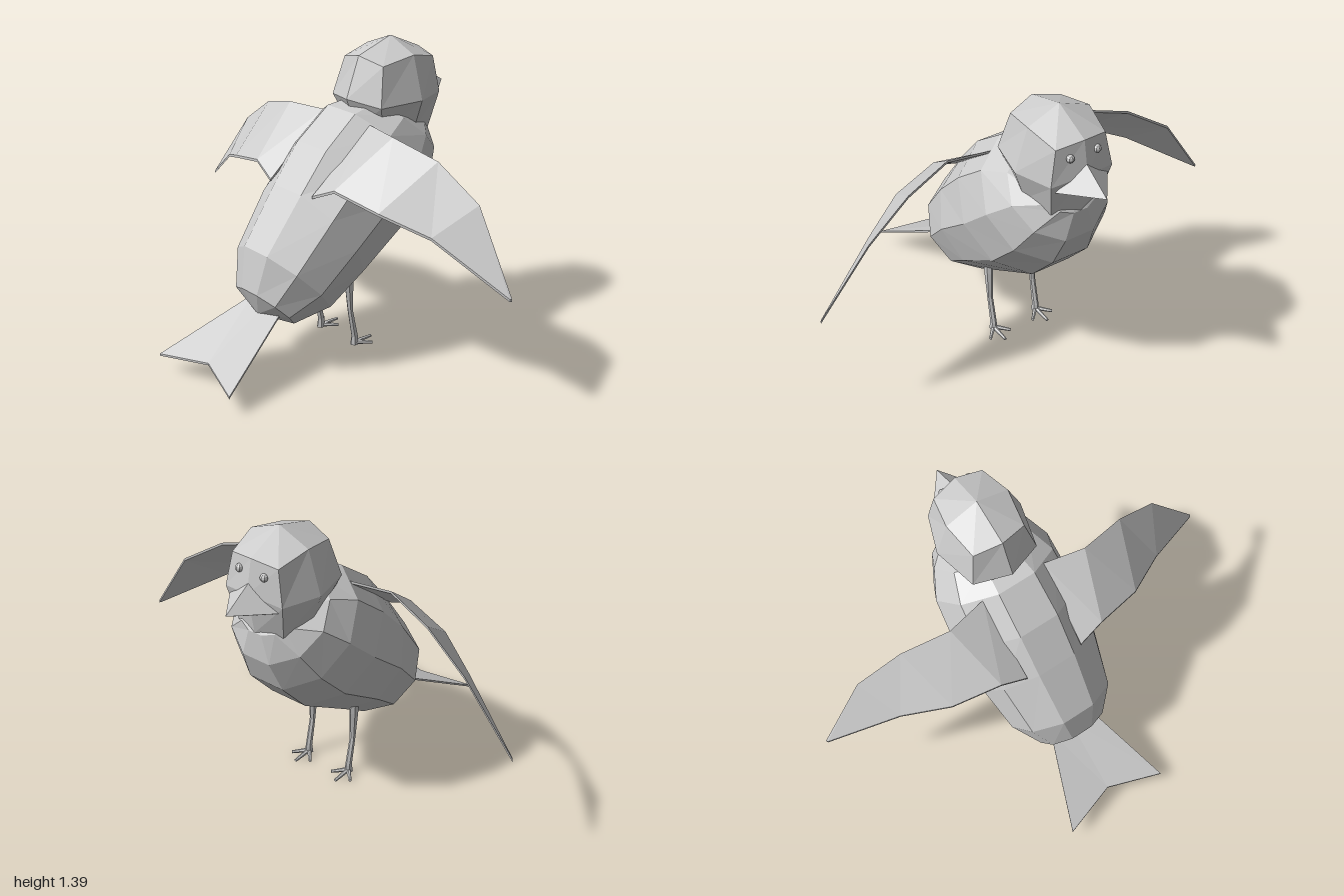
import * as THREE from 'three';

const material = new THREE.MeshStandardMaterial({ color: 0xcccccc, flatShading: true });

// Skins a row of point rings into a closed faceted solid; each end is fanned to a pole.
function loft(name, rings, startPole, endPole) {
  const centre = (ring) => [0, 1, 2].map((k) => ring.reduce((s, p) => s + p[k], 0) / ring.length);
  const tris = [];
  const first = rings[0], last = rings[rings.length - 1], n = first.length;
  const a = startPole || centre(first), b = endPole || centre(last);
  for (let j = 0; j < n; j++) {
    const k = (j + 1) % n;
    tris.push([a, first[k], first[j]], [b, last[j], last[k]]);
    for (let i = 0; i < rings.length - 1; i++) {
      const r = rings[i], s = rings[i + 1];
      tris.push([r[j], r[k], s[k]], [r[j], s[k], s[j]]);
    }
  }
  // Turn the faces outward if the enclosed volume comes out negative
  const v = (p) => new THREE.Vector3(...p);
  const volume = tris.reduce((sum, [p, q, r]) => sum + v(p).dot(v(q).cross(v(r))), 0);
  if (volume < 0) tris.forEach((t) => t.reverse());
  const geometry = new THREE.BufferGeometry();
  geometry.setAttribute('position', new THREE.Float32BufferAttribute(tris.flat(2), 3));
  geometry.computeVertexNormals();
  const mesh = new THREE.Mesh(geometry, material);
  mesh.name = name;
  return mesh;
}

// Thin sheet through pairs of edge points
function sheet(name, pairs, thickness) {
  const drop = ([x, y, z]) => [x, y - thickness, z];
  return loft(name, pairs.map(([p, q]) => [p, q, drop(q), drop(p)]));
}

// Horizontal ring mirrored in x, given from the back centre round to the front centre
function mirroredRing(half) {
  const other = half.slice(1, -1).reverse().map(([x, y, z]) => [-x, y, z]);
  return [...half, ...other];
}

function makeBody() {
  // Upper z, y, lower z, y and half width of each slanted section, rump to breast
  const sections = [
    [0.42, 0.38, 0.25, 0.20, 0.17],
    [0.38, 0.56, 0.07, 0.23, 0.255],
    [0.20, 0.80, -0.09, 0.34, 0.295],
    [0.06, 0.97, -0.37, 0.52, 0.305],
    [-0.11, 1.10, -0.51, 0.68, 0.29],
    [-0.25, 1.12, -0.57, 0.83, 0.23],
    [-0.46, 1.04, -0.57, 0.96, 0.11],
  ];
  const sides = 10, flat = Math.cos(Math.PI / sides);
  const rings = sections.map(([tz, ty, bz, by, w]) => Array.from({ length: sides }, (_, i) => {
    const angle = ((i + 0.5) / sides) * Math.PI * 2;
    const t = Math.cos(angle) / flat / 2;
    return [w * Math.sin(angle), (ty + by) / 2 + t * (ty - by), (tz + bz) / 2 + t * (tz - bz)];
  }));
  return loft('body', rings, [0, 0.26, 0.375], [0, 1.03, -0.53]);
}

function makeHead() {
  const head = new THREE.Group();
  head.name = 'head';
  head.add(loft('skull', [
    mirroredRing([[0, 1.0, -0.2], [0.12, 1.0, -0.25], [0.16, 0.98, -0.4], [0.12, 0.96, -0.53], [0, 0.96, -0.57]]),
    mirroredRing([[0, 1.14, -0.14], [0.16, 1.12, -0.2], [0.21, 1.13, -0.4], [0.15, 1.13, -0.567], [0, 1.16, -0.605]]),
    mirroredRing([[0, 1.325, -0.21], [0.125, 1.295, -0.24], [0.15, 1.325, -0.4], [0.12, 1.29, -0.55], [0, 1.31, -0.575]]),
  ], [0, 0.97, -0.4], [0, 1.387, -0.4]));

  // Four-sided beak
  head.add(loft('beak', [[[0, 1.21, -0.59], [0.13, 1.1, -0.567], [0, 1.05, -0.585], [-0.13, 1.1, -0.567]]],
    [0, 1.12, -0.55], [0, 1.12, -0.735]));

  for (const side of [-1, 1]) {
    const eye = new THREE.Mesh(new THREE.SphereGeometry(0.018, 8, 6), material);
    eye.name = side > 0 ? 'leftEye' : 'rightEye';
    eye.position.set(side * 0.065, 1.245, -0.573);
    head.add(eye);
  }
  return head;
}

function makeWing(side) {
  // Leading and trailing edge points, shoulder to tip
  const pairs = [
    [[0.15, 1.06, -0.14], [0.14, 0.805, 0.18]],
    [[0.34, 1.06, -0.10], [0.26, 0.86, 0.16]],
    [[0.56, 1.0, -0.15], [0.48, 0.81, 0.11]],
    [[0.77, 0.86, -0.183], [0.68, 0.735, 0.0]],
    [[1, 0.53, -0.148], [0.995, 0.53, -0.14]],
  ].map((pair) => pair.map(([x, y, z]) => [side * x, y, z]));
  return sheet(side > 0 ? 'leftWing' : 'rightWing', pairs, 0.012);
}

function makeLeg(side) {
  const leg = new THREE.Group();
  leg.name = side > 0 ? 'leftLeg' : 'rightLeg';
  // Six-sided shank: height, centre z and radii across x and z
  const rings = [
    [0.36, -0.055, 0.018, 0.025],
    [0.32, -0.057, 0.018, 0.025],
    [0.18, -0.066, 0.013, 0.013],
    [0.04, -0.095, 0.014, 0.018],
    [0.0, -0.094, 0.018, 0.022],
  ].map(([y, z, rx, rz]) => Array.from({ length: 6 }, (_, i) => {
    const angle = (i / 6) * Math.PI * 2;
    return [side * 0.118 + rx * Math.sin(angle), y, z + rz * Math.cos(angle)];
  }));
  leg.add(loft('shank', rings));

  // Three splayed toes
  for (const [dx, tipZ] of [[-0.055, -0.155], [0, -0.195], [0.055, -0.155]]) {
    const from = new THREE.Vector3(side * 0.118, 0.01, -0.095);
    const to = new THREE.Vector3(side * 0.118 + dx, 0.008, tipZ);
    const dir = to.clone().sub(from);
    const toe = new THREE.Mesh(new THREE.CylinderGeometry(0.007, 0.011, dir.length(), 6), material);
    toe.name = 'toe';
    toe.position.copy(from).add(to).multiplyScalar(0.5);
    toe.quaternion.setFromUnitVectors(new THREE.Vector3(0, 1, 0), dir.normalize());
    leg.add(toe);
  }
  return leg;
}

export function createModel() {
  const bird = new THREE.Group();
  bird.name = 'bird';
  bird.add(makeBody(), makeHead());

  // Notched tail fan
  bird.add(sheet('tail', [
    [[-0.105, 0.3, 0.32], [-0.253, 0.085, 0.73]],
    [[0, 0.3, 0.32], [0, 0.112, 0.65]],
    [[0.105, 0.3, 0.32], [0.253, 0.085, 0.73]],
  ], 0.01));

  for (const side of [-1, 1]) bird.add(makeWing(side), makeLeg(side));
  return bird;
}
